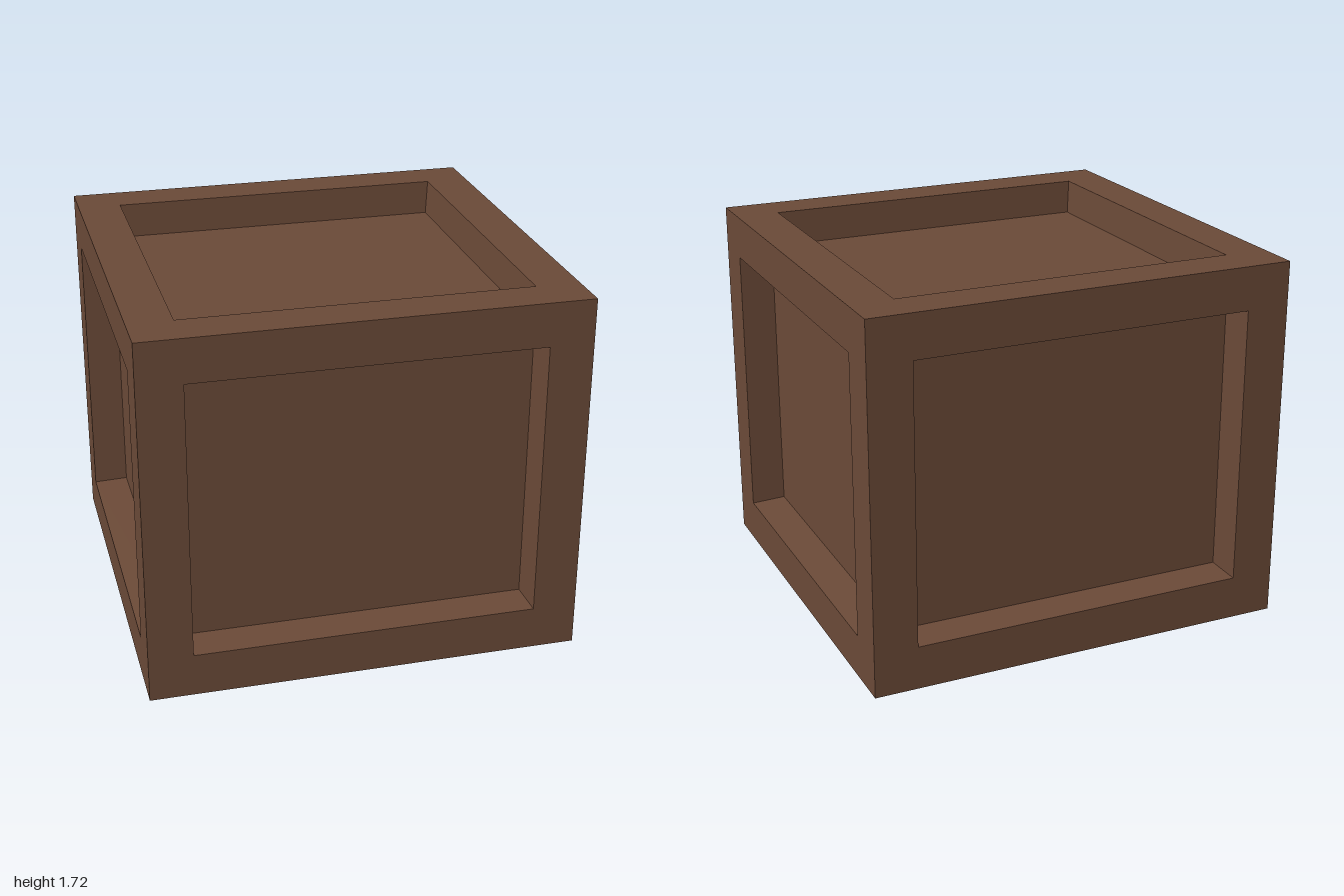
import * as THREE from 'three';

const W = 2, H = 1.72, D = 1.96;      // crate size
const BORDER = 0.204, TAPER = 0.012, DEPTH = 0.162;

// Joins concentric rectangles [inset, z] into mitred bands, facing +z.
function bands(w, h, rings) {
  const pos = [];
  const corner = ([inset, z], i) => [
    (i === 0 || i === 3 ? -1 : 1) * (w / 2 - inset),
    (i < 2 ? -1 : 1) * (h / 2 - inset),
    z,
  ];
  for (let r = 0; r < rings.length - 1; r++) {
    for (let i = 0; i < 4; i++) {
      const j = (i + 1) % 4;
      const a = corner(rings[r], i), b = corner(rings[r], j);
      const c = corner(rings[r + 1], j), d = corner(rings[r + 1], i);
      pos.push(...a, ...b, ...c, ...a, ...c, ...d);
    }
  }
  const g = new THREE.BufferGeometry();
  g.setAttribute('position', new THREE.Float32BufferAttribute(pos, 3));
  g.computeVertexNormals();
  return g;
}

export function createModel() {
  const wood = new THREE.MeshStandardMaterial({ color: 0x6a4937 });
  wood.name = 'brownWood';
  const crate = new THREE.Group();
  crate.name = 'crate';

  const add = (parent, name, geometry) => {
    const mesh = new THREE.Mesh(geometry, wood);
    mesh.name = name;
    parent.add(mesh);
    return mesh;
  };

  // One crate side: raised frame with bevelled recess walls and a sunken panel
  const addSide = (name, w, h, position, rx, ry) => {
    const side = new THREE.Group();
    side.name = name;
    const inner = BORDER + TAPER;
    add(side, name + 'Frame', bands(w, h, [[0, 0], [BORDER, 0], [inner, -DEPTH]]));
    add(side, name + 'Panel', new THREE.PlaneGeometry(w - 2 * inner, h - 2 * inner))
      .position.z = -DEPTH;
    side.position.set(...position);
    side.rotation.set(rx, ry, 0);
    crate.add(side);
  };

  const q = Math.PI / 2;
  addSide('front', W, H, [0, H / 2, D / 2], 0, 0);
  addSide('back', W, H, [0, H / 2, -D / 2], 0, Math.PI);
  addSide('left', D, H, [W / 2, H / 2, 0], 0, q);
  addSide('right', D, H, [-W / 2, H / 2, 0], 0, -q);
  addSide('top', W, D, [0, H, 0], -q, 0);

  // Plain flat underside
  add(crate, 'bottom', new THREE.PlaneGeometry(W, D)).rotation.x = q;

  return crate;
}
